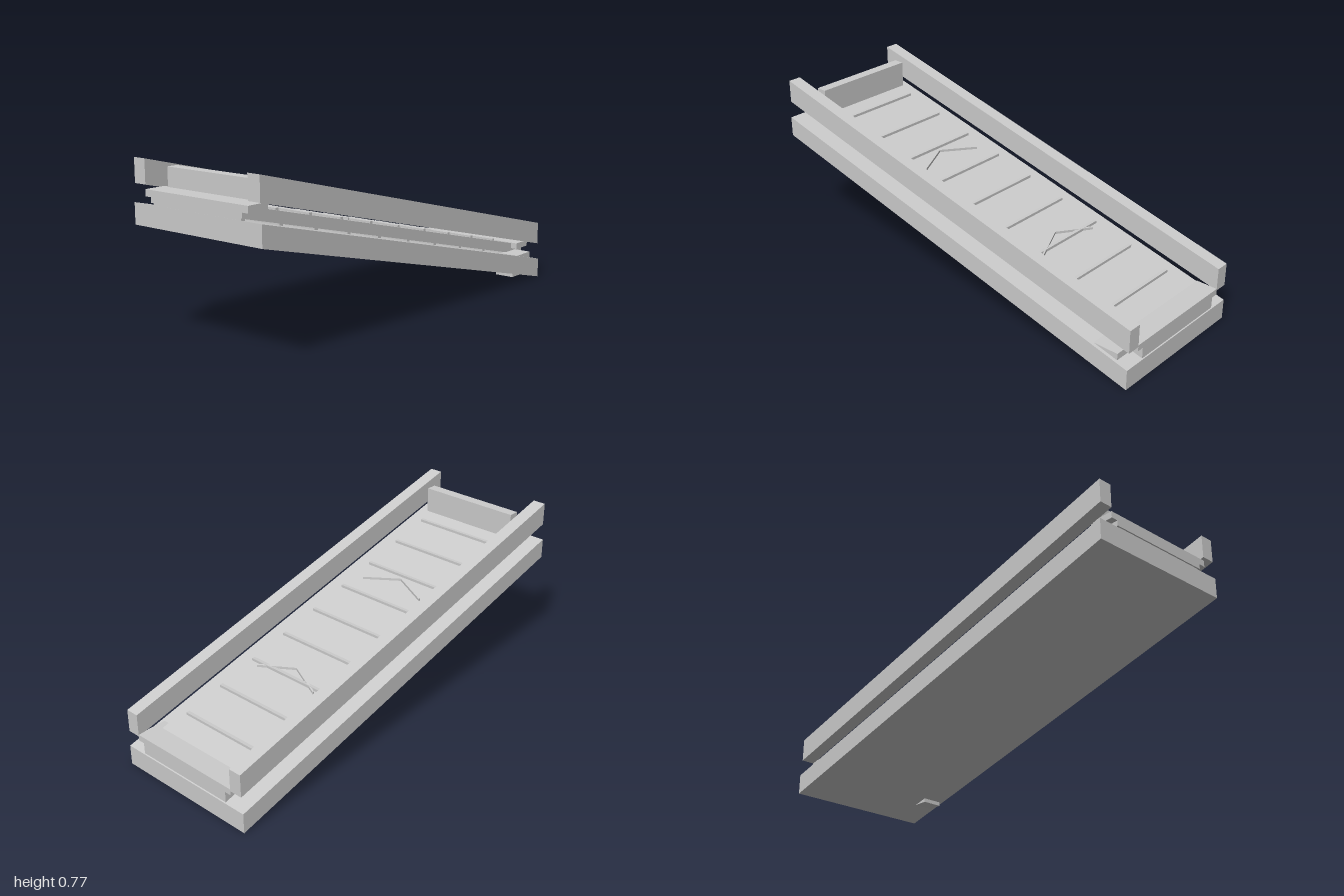
import * as THREE from 'three';

const SLOPE = 0.25;
const material = new THREE.MeshStandardMaterial({ color: 0xcccccc, flatShading: true });

export function createModel() {
  const group = new THREE.Group();

  function add(name, geometry) {
    const mesh = new THREE.Mesh(geometry, material);
    mesh.name = name;
    group.add(mesh);
    return mesh;
  }

  // Level box given by its limits
  function box(name, x0, x1, y0, y1, z0, z1) {
    const g = new THREE.BoxGeometry(x1 - x0, y1 - y0, z1 - z0);
    g.translate((x0 + x1) / 2, (y0 + y1) / 2, (z0 + z1) / 2);
    return add(name, g);
  }

  // Lift each vertex along the incline, keeping the ends vertical
  function incline(mesh) {
    const p = mesh.geometry.attributes.position;
    for (let i = 0; i < p.count; i++) p.setY(i, p.getY(i) + SLOPE * p.getZ(i));
    mesh.geometry.computeVertexNormals();
    return mesh;
  }

  // Sloping bed, belt and side rails (heights are those at z = 0)
  incline(box('base', -0.35, 0.35, 0.25, 0.342, -1, 1));
  incline(box('belt', -0.25, 0.25, 0.35, 0.4, -1, 1));
  incline(box('leftRail', 0.281, 0.343, 0.42, 0.525, -1, 1));
  incline(box('rightRail', -0.343, -0.281, 0.42, 0.525, -1, 1));

  // Level end plates and the stop at the high end
  box('frontPlate', -0.282, 0.282, 0.623, 0.652, 0.9, 1);
  box('rearPlate', -0.282, 0.282, 0.15, 0.178, -1, -0.9);
  box('endStop', -0.25, 0.25, 0.615, 0.735, 0.86, 0.91);

  // Cleats across the top of the belt
  for (let i = -4; i <= 4; i++) {
    const z = i * 0.195;
    const y = 0.4 + SLOPE * z;
    box('cleat', -0.22, 0.22, y - 0.008, y + 0.01, z - 0.008, z + 0.008);
  }

  // Supports under the belt
  for (let i = 0; i < 10; i++) {
    const z = 0.985 - i * 0.206;
    const y = 0.35 + SLOPE * z;
    box('support', -0.24, 0.24, y - 0.01, y + 0.01, z - 0.01, z + 0.01);
  }

  // V-shaped direction marks
  for (const z of [0.37, -0.33]) {
    const v = new THREE.Shape([
      [0, 0], [0.17, 0.08], [0.17, 0.087], [0, 0.012], [-0.17, 0.087], [-0.17, 0.08],
    ].map(([x, y]) => new THREE.Vector2(x, y)));
    const g = new THREE.ExtrudeGeometry(v, { depth: 0.012, bevelEnabled: false });
    g.rotateX(-Math.PI / 2);
    g.translate(0, 0.399, z);
    incline(add('directionMark', g));
  }

  // Drive housing set through the low end of the base
  box('driveHousing', 0.24, 0.335, 0.037, 0.137, -0.94, -0.78);

  return group;
}
